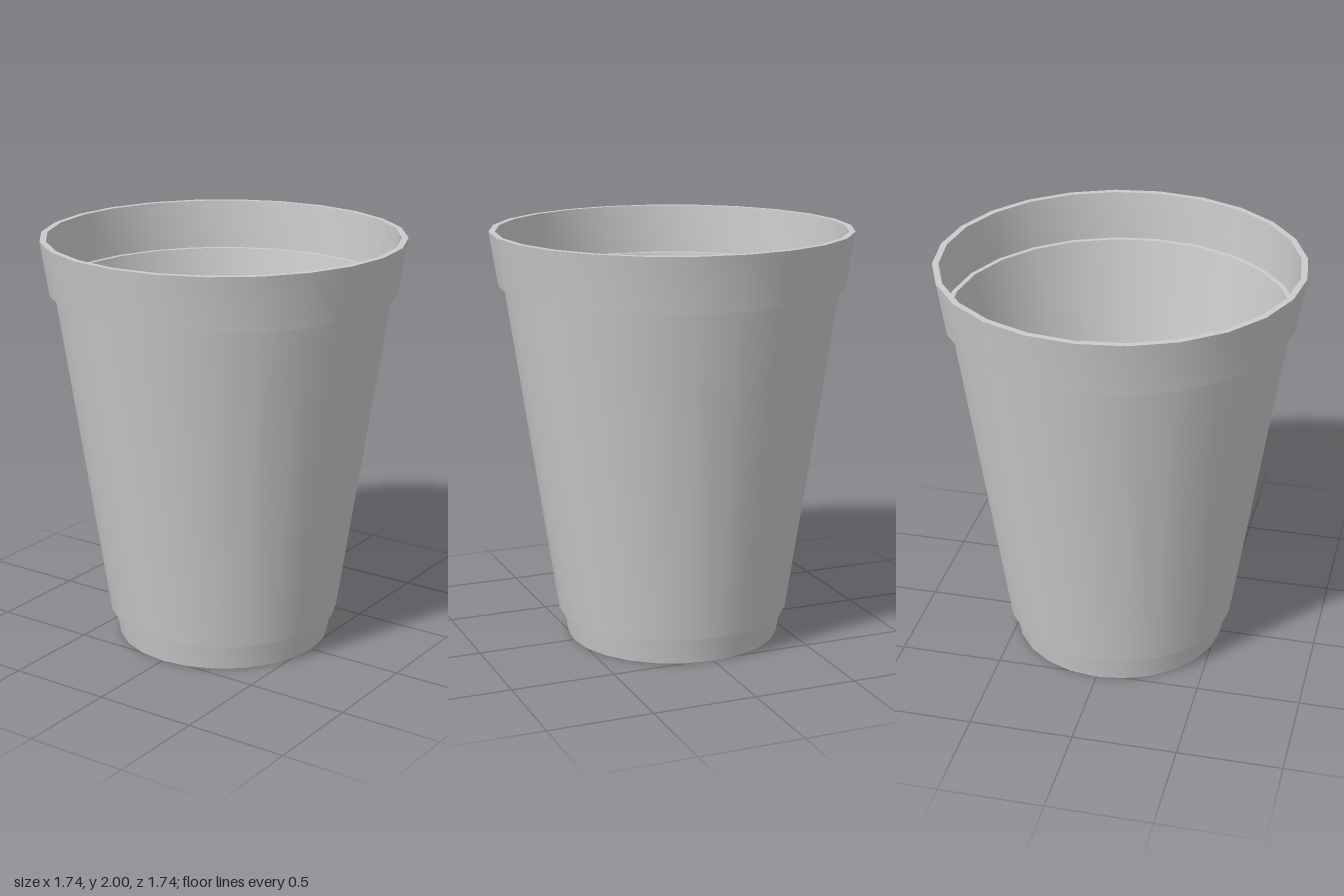
import * as THREE from 'three';
import { toCreasedNormals } from 'three/addons/utils/BufferGeometryUtils.js';

const SIDES = 24;
const material = new THREE.MeshStandardMaterial({ color: 0xcccccc, side: THREE.DoubleSide });

// Turned part: smooth around, sharp at the steps of the profile
function turned(name, profile) {
  const points = profile.map(([r, y]) => new THREE.Vector2(r, y));
  const geometry = toCreasedNormals(new THREE.LatheGeometry(points, SIDES), 0.5);
  const mesh = new THREE.Mesh(geometry, material);
  mesh.name = name;
  return mesh;
}

export function createModel() {
  const cup = new THREE.Group();
  cup.name = 'cup';

  // Wall: foot, tapered body and wide rim band outside, then back down inside
  cup.add(turned('wall', [
    [0.505, 0.025], [0.505, 0], [0.52, 0],
    [0.542, 0.13], [0.563, 0.13],
    [0.802, 1.74], [0.828, 1.74],
    [0.868, 2], [0.838, 2],
    [0.824, 1.76], [0.8, 1.76],
    [0.558, 0.15], [0.54, 0.15],
    [0.518, 0.035],
  ]));

  // Floor: raised a little above the foot, with a small dimple in the middle
  cup.add(turned('floor', [
    [0, 0.008], [0.03, 0.013], [0.055, 0.025], [0.505, 0.025],
  ]));
  cup.add(turned('floorTop', [
    [0.518, 0.035], [0.5, 0.037], [0.055, 0.037], [0.03, 0.022], [0, 0.016],
  ]));

  return cup;
}
